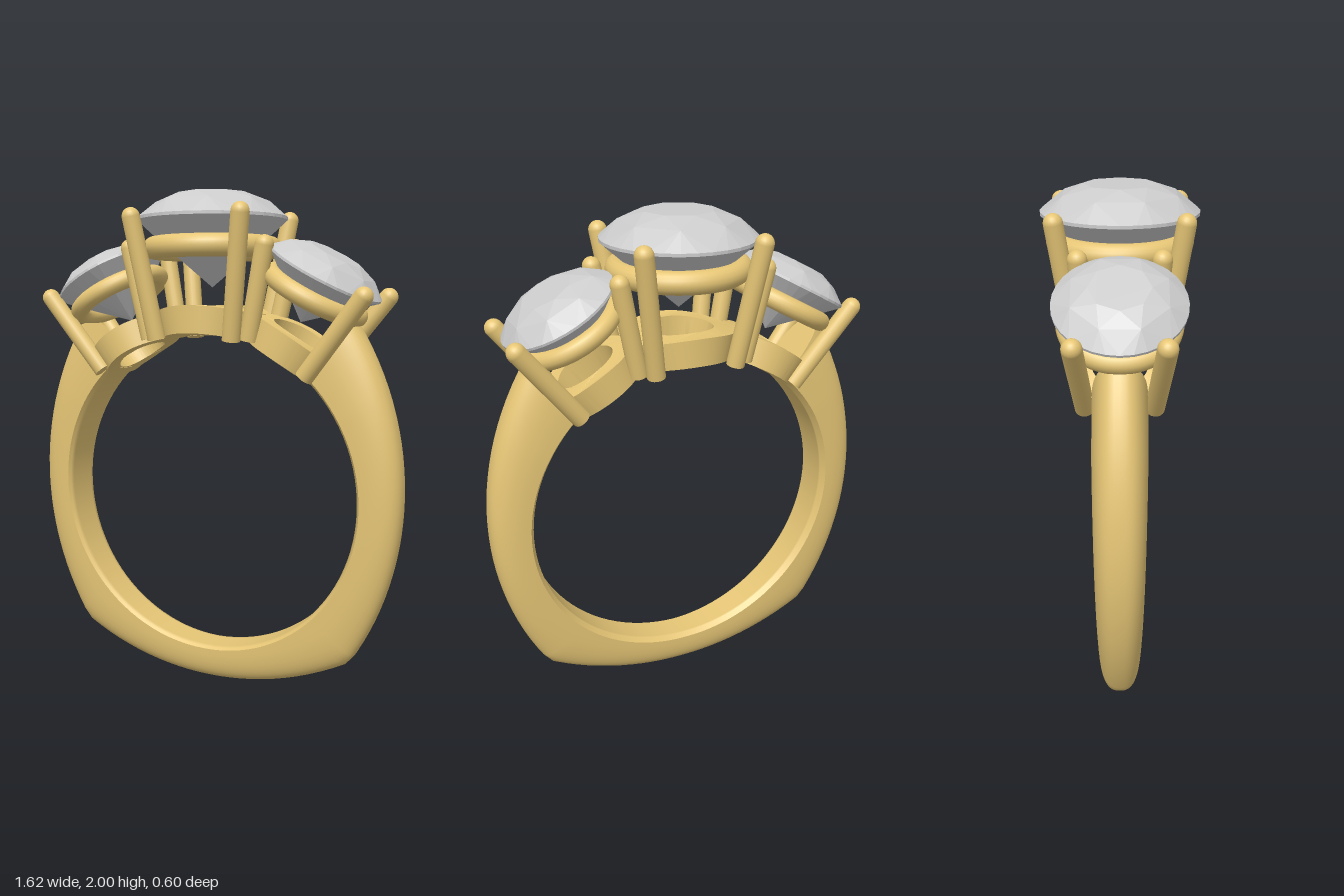
import * as THREE from 'three';
import { toCreasedNormals } from 'three/addons/utils/BufferGeometryUtils.js';
import { ConvexGeometry } from 'three/addons/geometries/ConvexGeometry.js';
import { ParametricGeometry } from 'three/addons/geometries/ParametricGeometry.js';

const gold = new THREE.MeshStandardMaterial({ color: 0xe6c676 });
const stone = new THREE.MeshStandardMaterial({ color: 0xcccccc, flatShading: true });

const CY = 0.8, INNER = 0.65; // finger hole centre and radius
const CORNER = 42.93 * Math.PI / 180; // angle of the lower corners, from the bottom
const STEP = CORNER / 12, ROWS = 78, END = STEP * ROWS / 2;

function mesh(name, geometry, material = gold) {
  const m = new THREE.Mesh(geometry, material);
  m.name = name;
  return m;
}

// Distance from the finger centre to an arc of radius 1.24 centred at (cx, cy)
function rayToArc(a, cx, cy) {
  const d = Math.sin(a) * cx - Math.cos(a) * cy;
  return d + Math.sqrt(1.24 * 1.24 - cx * cx - cy * cy + d * d);
}

// Points on the two skins of the band; a is the angle from the bottom
const halfWidth = a => 0.074 + 0.026 * Math.min(1, Math.abs(a) / 2.1);
const place = (a, r, z, p) => p.set(r * Math.sin(a), CY - r * Math.cos(a), z);

function outerSkin(u, a, p) {
  const b = Math.abs(a), base = INNER + 0.015;
  const R = Math.min(rayToArc(b, 0, 0.44), rayToArc(b, -0.431, 0.03));
  const c = Math.cos(u * Math.PI), s = Math.max(0, Math.sin(u * Math.PI));
  const z = Math.sign(c) * Math.pow(Math.abs(c), 0.75) * halfWidth(a);
  return place(a, base + (R - base) * Math.pow(s, 0.8), z, p);
}

function innerSkin(u, a, p) {
  const t = 2 * u - 1;
  const r = INNER + 0.015 * Math.max(0, (Math.abs(t) - 0.75) / 0.25);
  return place(a, r, t * halfWidth(a), p);
}

function band() {
  const g = new THREE.Group();
  g.name = 'band';
  const angle = v => (2 * v - 1) * END;
  g.add(mesh('bandOutside', new ParametricGeometry((u, v, p) => outerSkin(u, angle(v), p), 28, ROWS)));
  g.add(mesh('bandInside', new ParametricGeometry((u, v, p) => innerSkin(u, angle(v), p), 16, ROWS)));
  const q = new THREE.Vector3();
  for (const side of [-1, 1]) {
    g.add(mesh('bandEnd', new ParametricGeometry((u, v, p) => {
      outerSkin(u, side * END, p);
      innerSkin(1 - u, side * END, q);
      p.lerp(q, side > 0 ? v : 1 - v);
    }, 28, 1)));
  }
  return g;
}

// Round brilliant cut with unit girdle radius
function gemGeometry() {
  const pts = [new THREE.Vector3(0, -0.9, 0)];
  const circle = (n, r, y, turn = 0) => {
    for (let i = 0; i < n; i++) {
      const a = (i + turn) / n * Math.PI * 2;
      pts.push(new THREE.Vector3(r * Math.cos(a), y, r * Math.sin(a)));
    }
  };
  circle(8, 0.46, 0.335);
  circle(8, 0.76, 0.225, 0.5);
  circle(32, 1, 0.015);
  circle(32, 1, -0.025);
  circle(8, 0.5, -0.475, 0.5);
  return new ConvexGeometry(pts);
}

// Flat ring curved around the finger hole, tilted by an angle from the top
function baseRing(outer, inner, tilt) {
  const shape = new THREE.Shape().absarc(0, 0, outer, 0, Math.PI * 2);
  shape.holes.push(new THREE.Path().absarc(0, 0, inner, 0, Math.PI * 2, true));
  const geo = new THREE.ExtrudeGeometry(shape, { depth: 0.108, bevelEnabled: false, curveSegments: 48 });
  const pos = geo.attributes.position;
  for (let i = 0; i < pos.count; i++) {
    const a = tilt + pos.getX(i) / INNER, r = INNER + 0.002 + pos.getZ(i);
    pos.setXYZ(i, r * Math.sin(a), CY + r * Math.cos(a), -pos.getY(i));
  }
  return mesh('baseRing', toCreasedNormals(geo, 0.7));
}

// Round wire with a domed tip
function prong(bottom, top, radius = 0.036) {
  const g = new THREE.Group();
  g.name = 'prong';
  const a = new THREE.Vector3(...bottom), b = new THREE.Vector3(...top);
  const dir = b.clone().sub(a), length = dir.length();
  const rod = mesh('prongWire', new THREE.CylinderGeometry(radius, radius, length, 20));
  rod.position.y = length / 2;
  const tip = mesh('prongTip', new THREE.SphereGeometry(radius, 20, 12));
  tip.position.y = length;
  g.add(rod, tip);
  g.position.copy(a);
  g.quaternion.setFromUnitVectors(new THREE.Vector3(0, 1, 0), dir.normalize());
  return g;
}

// Stone with its gallery wire, along its own tilted axis
function stoneSeat(radius, x, y, tilt, drop, wireRadius, wire) {
  const g = new THREE.Group();
  g.name = 'stoneSeat';
  const gem = mesh('gemstone', gemGeometry(), stone);
  gem.scale.setScalar(radius);
  const ring = mesh('galleryRing', new THREE.TorusGeometry(wireRadius, wire, 16, 64));
  ring.rotation.x = Math.PI / 2;
  ring.position.y = -drop;
  g.add(gem, ring);
  g.position.set(x, y, 0);
  g.rotation.z = -tilt;
  return g;
}

function centreSetting() {
  const g = new THREE.Group();
  g.name = 'centreSetting';
  g.add(stoneSeat(0.3, 0, 1.9, 0, 0.115, 0.235, 0.044), baseRing(0.2, 0.12, 0));
  for (const sx of [-1, 1]) for (const sz of [-1, 1]) {
    g.add(prong([sx * 0.165, 1.425, sz * 0.165], [sx * 0.235, 1.9, sz * 0.235]));
  }
  return g;
}

function sideSetting() {
  const g = new THREE.Group();
  g.name = 'sideSetting';
  g.add(stoneSeat(0.235, 0.485, 1.68, 0.5, 0.09, 0.185, 0.037), baseRing(0.168, 0.105, 0.54));
  for (const sz of [-1, 1]) {
    g.add(prong([0.45, 1.29, sz * 0.125], [0.685, 1.59, sz * 0.155]));
    g.add(prong([0.22, 1.425, sz * 0.125], [0.295, 1.785, sz * 0.15]));
  }
  return g;
}

export function createModel() {
  const model = new THREE.Group();
  model.name = 'threeStoneRing';
  const left = sideSetting(), right = sideSetting();
  right.rotation.y = Math.PI;
  model.add(band(), centreSetting(), left, right);
  return model;
}
